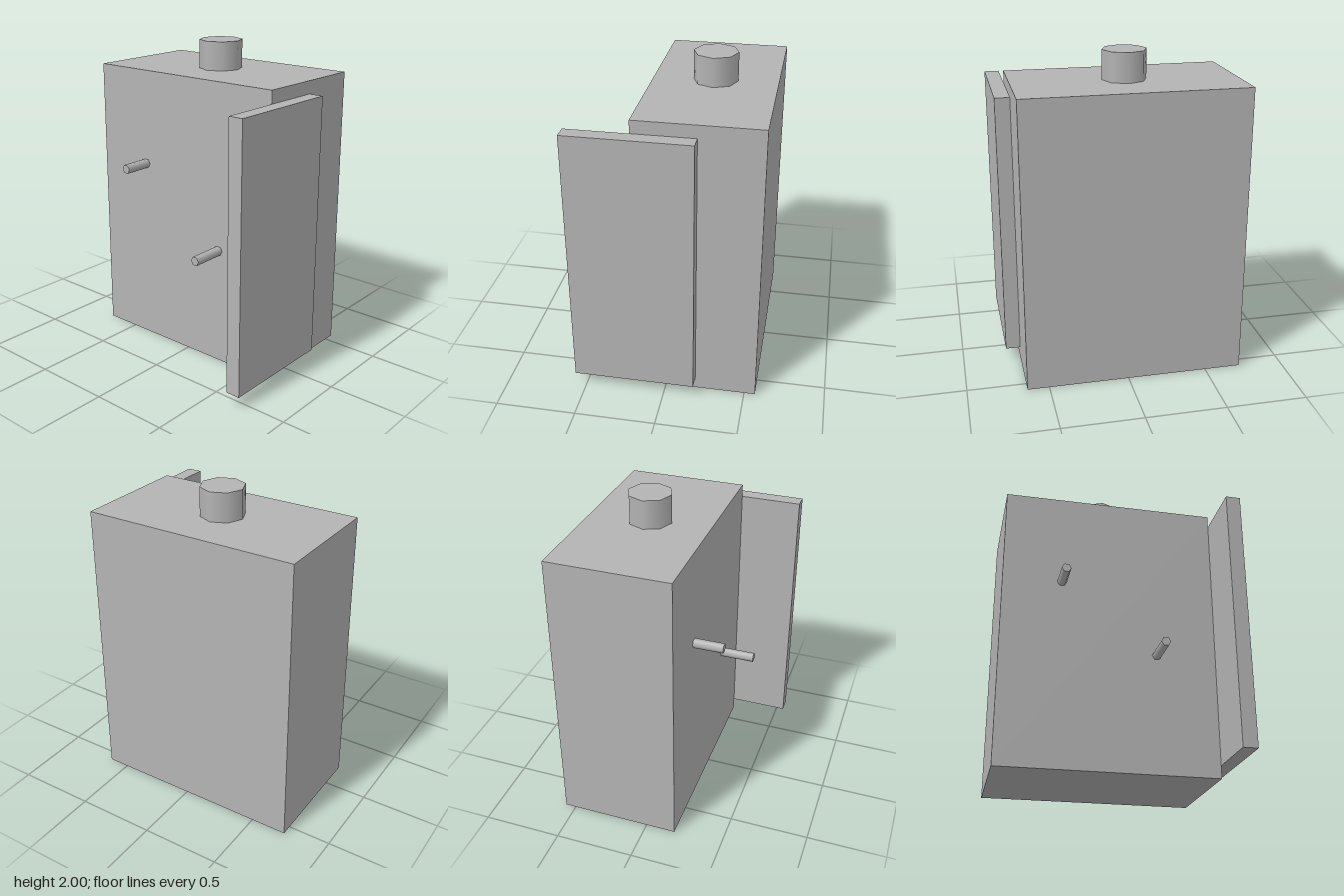
import * as THREE from 'three';

export function createModel() {
  const group = new THREE.Group();
  const grey = new THREE.MeshStandardMaterial({ color: 0xb4b4b4 });
  grey.name = 'grey';

  const add = (name, geometry, x, y, z) => {
    const mesh = new THREE.Mesh(geometry, grey);
    mesh.name = name;
    mesh.position.set(x, y, z);
    group.add(mesh);
  };

  // Main case, standing on the ground
  add('caseBody', new THREE.BoxGeometry(1.363, 1.82, 0.757), -0.046, 0.91, -0.19);

  // Door swung open on the left side
  add('openDoor', new THREE.BoxGeometry(0.092, 1.66, 0.757), 0.681, 0.91, 0.19);

  // Eight-sided cap on top
  add('topCap', new THREE.CylinderGeometry(0.136, 0.136, 0.182, 8), -0.046, 1.909, -0.19);

  // Six-sided pegs sticking out of the front face
  const frontZ = 0.188;
  for (const [name, x, y, length] of [
    ['upperPeg', -0.352, 1.213, 0.188],
    ['lowerPeg', 0.255, 0.76, 0.225],
  ]) {
    const peg = new THREE.CylinderGeometry(0.03, 0.03, length, 6)
      .rotateY(Math.PI / 6)
      .rotateX(Math.PI / 2);
    add(name, peg, x, y, frontZ + length / 2);
  }

  return group;
}
